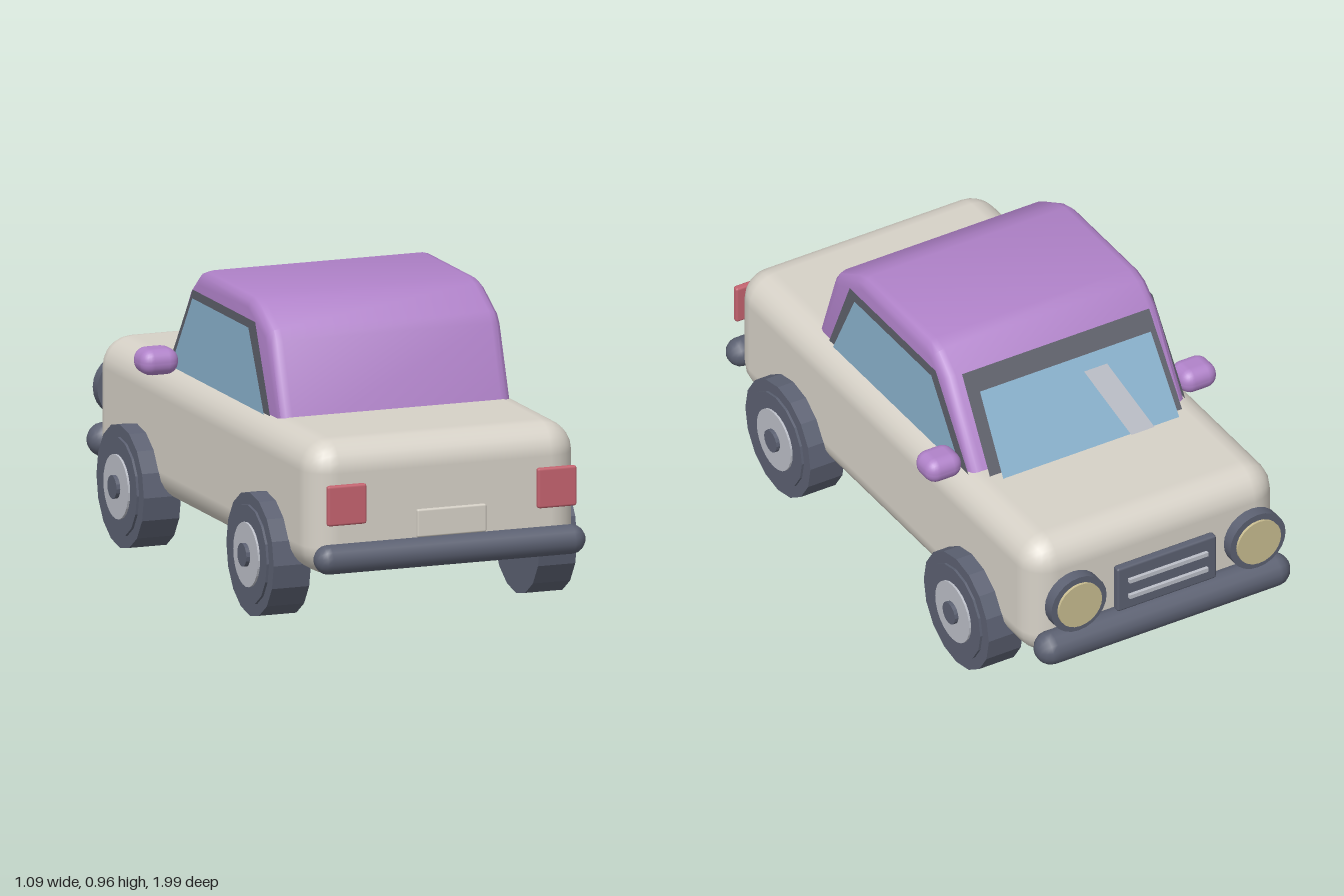
import * as THREE from 'three';
import { toCreasedNormals } from 'three/addons/utils/BufferGeometryUtils.js';
import { RoundedBoxGeometry } from 'three/addons/geometries/RoundedBoxGeometry.js';

const paint = (name, color, side = THREE.FrontSide) => {
  const m = new THREE.MeshStandardMaterial({ color, side });
  m.name = name;
  return m;
};

export function createModel() {
  const car = new THREE.Group();
  car.name = 'car';
  const cream = paint('cream', 0xd6d1c7);
  const purple = paint('purple', 0xb082c9);
  const dark = paint('dark rubber', 0x5c6172);
  const trim = paint('window trim', 0x5e606b, THREE.DoubleSide);
  const glass = paint('glass', 0x8ab2cd, THREE.DoubleSide);
  const silver = paint('silver', 0xbcbfc8, THREE.DoubleSide);
  const red = paint('red', 0xc4636f);
  const lens = paint('lamp lens', 0xc9bd90);
  dark.flatShading = false;
  const tyreMat = dark;

  const add = (name, geometry, material, x = 0, y = 0, z = 0, parent = car) => {
    const mesh = new THREE.Mesh(geometry, material);
    mesh.name = name;
    mesh.position.set(x, y, z);
    parent.add(mesh);
    return mesh;
  };
  const rounded = (w, h, d, r, seg = 3) => new RoundedBoxGeometry(w, h, d, seg, r);
  // Flat convex panel from its corner points
  const panel = (name, corners, material) => {
    const g = new THREE.BufferGeometry();
    g.setAttribute('position', new THREE.Float32BufferAttribute(corners.flat(), 3));
    const index = [];
    for (let i = 1; i < corners.length - 1; i++) index.push(0, i, i + 1);
    g.setIndex(index);
    g.computeVertexNormals();
    return add(name, g, material);
  };

  // Lower body
  add('body', rounded(0.92, 0.44, 1.83, 0.1), cream, 0, 0.4, 0.005);

  // Cabin: side profile (z, y) extruded across the car with rounded sides
  const profile = [[0.53, 0.56], [0.43, 0.85], [0.405, 0.885], [0.286, 0.95], [0.24, 0.963],
    [-0.15, 0.963], [-0.2, 0.948], [-0.27, 0.89], [-0.475, 0.56]];
  const bevel = 0.04, half = 0.395;
  const cabin = new THREE.ExtrudeGeometry(
    new THREE.Shape(profile.map(([z, y]) => new THREE.Vector2(z, y))),
    { depth: 2 * (half - bevel), bevelSize: bevel, bevelThickness: bevel, bevelOffset: -bevel, bevelSegments: 3 });
  cabin.translate(0, 0, -(half - bevel)).rotateY(-Math.PI / 2);
  add('cabin', toCreasedNormals(cabin, 0.6), purple);

  // Windscreen: trim, glass and a pale glint, each a little further forward
  const slope = 0.664;
  const screen = (name, corners, zBase, material) =>
    panel(name, corners.map(([x, y]) => [x, y, zBase + (y - 0.62) * slope]), material);
  screen('windscreenTrim', [[-0.355, 0.61], [-0.345, 0.9], [0.345, 0.9], [0.355, 0.61]], -0.476, trim);
  screen('windscreen', [[-0.325, 0.61], [-0.315, 0.858], [0.315, 0.858], [0.325, 0.61]], -0.508, glass);
  screen('windscreenGlint', [[-0.23, 0.62], [-0.135, 0.82], [-0.05, 0.82], [-0.145, 0.62]], -0.514, silver);

  for (const s of [-1, 1]) {
    // Side windows
    const sidePanel = (name, pts, x, material) =>
      panel(name, (s > 0 ? pts : [...pts].reverse()).map(([z, y]) => [s * x, y, z]), material);
    sidePanel('sideWindowTrim', [[0.43, 0.61], [-0.42, 0.61], [-0.22, 0.89], [0.305, 0.89]], 0.4, trim);
    sidePanel('sideWindow', [[0.395, 0.61], [-0.385, 0.61], [-0.205, 0.865], [0.265, 0.865]], 0.407, glass);

    // Door mirror
    add('mirror', rounded(0.13, 0.085, 0.116, 0.04), purple, s * 0.47, 0.64, -0.355);

    // Wheels: stacked discs of tyre, rim and hub
    for (const z of [0.55, -0.54]) {
      const wheel = new THREE.Group();
      wheel.name = z > 0 ? 'rearWheel' : 'frontWheel';
      wheel.position.set(s * 0.39, 0.199, z);
      car.add(wheel);
      const disc = (name, r, from, to, material, sides) => {
        const g = new THREE.CylinderGeometry(r, r, to - from, sides).rotateZ(Math.PI / 2);
        add(name, toCreasedNormals(g.toNonIndexed(), 0.2), material, s * (from + to) / 2, 0, 0, wheel);
      };
      disc('tyre', 0.199, 0, 0.127, tyreMat, 16);
      disc('tyreWall', 0.16, 0.12, 0.135, tyreMat, 16);
      disc('rim', 0.104, 0.13, 0.142, silver, 24);
      disc('hub', 0.038, 0.13, 0.155, tyreMat, 16);
    }

    // Tail lamps
    add('tailLamp', rounded(0.133, 0.13, 0.024, 0.008, 1), red, s * 0.358, 0.43, 0.967);

    // Headlamps
    const ring = new THREE.CylinderGeometry(0.102, 0.102, 0.04, 24).rotateX(Math.PI / 2);
    add('headlampRing', ring, dark, s * 0.33, 0.425, -0.96);
    const lamp = new THREE.CylinderGeometry(0.08, 0.08, 0.03, 24).rotateX(Math.PI / 2);
    add('headlampLens', lamp, lens, s * 0.33, 0.425, -0.974);

    // Grille bars
    add('grilleBar', new THREE.BoxGeometry(0.29, 0.014, 0.014), silver, 0, 0.415 + s * 0.03, -0.978);
  }

  // Grille, number plate and bumpers
  add('grille', rounded(0.365, 0.165, 0.03, 0.008, 1), dark, 0, 0.415, -0.958);
  add('plate', rounded(0.236, 0.09, 0.018, 0.006, 1), cream, 0, 0.35, 0.966);
  const bumper = (name, r, length, y, z) =>
    add(name, new THREE.CapsuleGeometry(r, length - 2 * r, 4, 14).rotateZ(Math.PI / 2), dark, 0, y, z);
  bumper('rearBumper', 0.048, 0.92, 0.253, 0.951);
  bumper('frontBumper', 0.056, 0.93, 0.262, -0.94);

  return car;
}
